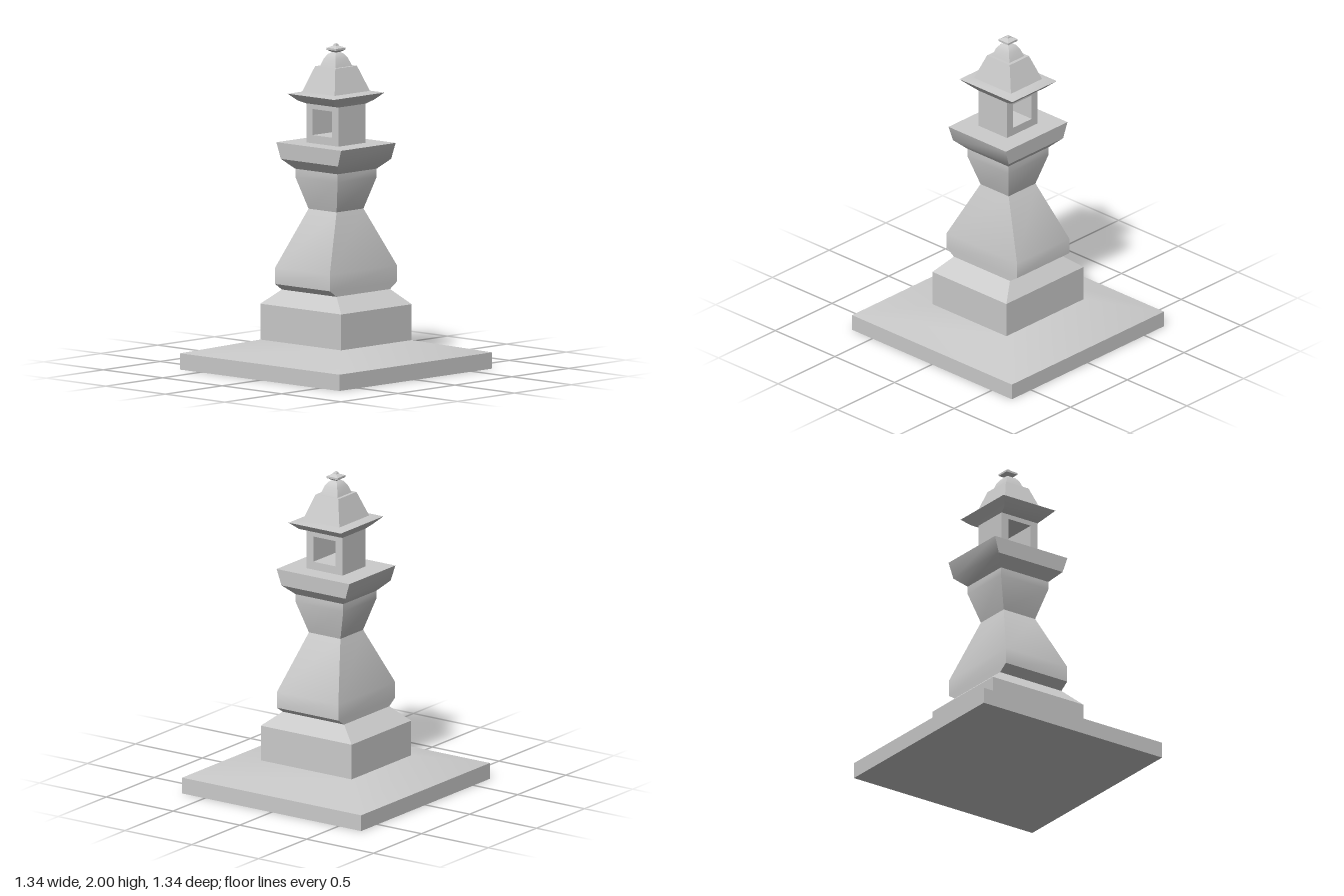
import * as THREE from 'three';
import { toCreasedNormals } from 'three/addons/utils/BufferGeometryUtils.js';

const material = new THREE.MeshStandardMaterial({ color: 0xcccccc });
const CREASE = Math.PI / 6;

// Lofts rectangular sections [y, halfWidth, halfDepth] from bottom to top, with closed ends.
function loft(name, sections) {
  const positions = [];
  const indices = [];
  for (const [y, x, z] of sections) {
    positions.push(-x, y, z, x, y, z, x, y, -z, -x, y, -z);
  }
  for (let s = 0; s < sections.length - 1; s++) {
    for (let i = 0; i < 4; i++) {
      const a = s * 4 + i;
      const b = s * 4 + ((i + 1) % 4);
      indices.push(a, b, b + 4, a, b + 4, a + 4);
    }
  }
  const t = (sections.length - 1) * 4;
  indices.push(0, 2, 1, 0, 3, 2, t, t + 1, t + 2, t, t + 2, t + 3);
  const geometry = new THREE.BufferGeometry();
  geometry.setAttribute('position', new THREE.Float32BufferAttribute(positions, 3));
  geometry.setIndex(indices);
  const mesh = new THREE.Mesh(toCreasedNormals(geometry, CREASE), material);
  mesh.name = name;
  return mesh;
}

// Rectangular outline, counter-clockwise.
function rectangle(path, x0, y0, x1, y1) {
  path.moveTo(x0, y0);
  path.lineTo(x1, y0);
  path.lineTo(x1, y1);
  path.lineTo(x0, y1);
  path.closePath();
  return path;
}

// Lamp chamber: a block with a window passing through from side to side.
function lampChamber() {
  const shape = rectangle(new THREE.Shape(), -0.135, 1.39, 0.135, 1.63);
  shape.holes.push(rectangle(new THREE.Path(), -0.083, 1.44, 0.083, 1.6));
  const geometry = new THREE.ExtrudeGeometry(shape, { depth: 0.24, bevelEnabled: false });
  geometry.translate(0, 0, -0.12);
  geometry.rotateY(Math.PI / 2);
  const mesh = new THREE.Mesh(geometry, material);
  mesh.name = 'lampChamber';
  return mesh;
}

export function createModel() {
  const group = new THREE.Group();
  group.name = 'stoneLantern';
  group.add(
    // Broad sloping foot and the block standing on it
    loft('base', [[0, 0.67, 0.67], [0.1, 0.67, 0.67], [0.18, 0.31, 0.34]]),
    loft('plinth', [[0.18, 0.31, 0.34], [0.4, 0.31, 0.34], [0.49, 0.235, 0.23]]),
    // Waisted shaft
    loft('lowerShaft', [[0.49, 0.235, 0.23], [0.53, 0.295, 0.23], [0.63, 0.295, 0.23], [0.985, 0.118, 0.118]]),
    loft('upperShaft', [[0.985, 0.118, 0.118], [1.18, 0.172, 0.178], [1.23, 0.172, 0.178]]),
    // Flared table carrying the lamp
    loft('platform', [[1.23, 0.172, 0.178], [1.29, 0.234, 0.24], [1.39, 0.24, 0.272]]),
    lampChamber(),
    // Eaves, roof and bell-shaped crown
    loft('eaves', [[1.63, 0.12, 0.135], [1.65, 0.175, 0.152], [1.693, 0.222, 0.195], [1.705, 0.155, 0.137]]),
    loft('roof', [[1.705, 0.155, 0.137], [1.86, 0.095, 0.085]]),
    loft('crown', [[1.86, 0.074, 0.065], [1.91, 0.054, 0.048], [1.935, 0.036, 0.032], [1.947, 0.016, 0.015]]),
    loft('finial', [[1.945, 0.016, 0.015], [1.96, 0.041, 0.041], [1.972, 0.041, 0.041],
      [1.985, 0.013, 0.013], [1.995, 0.01, 0.01], [2, 0.004, 0.004]])
  );
  return group;
}
